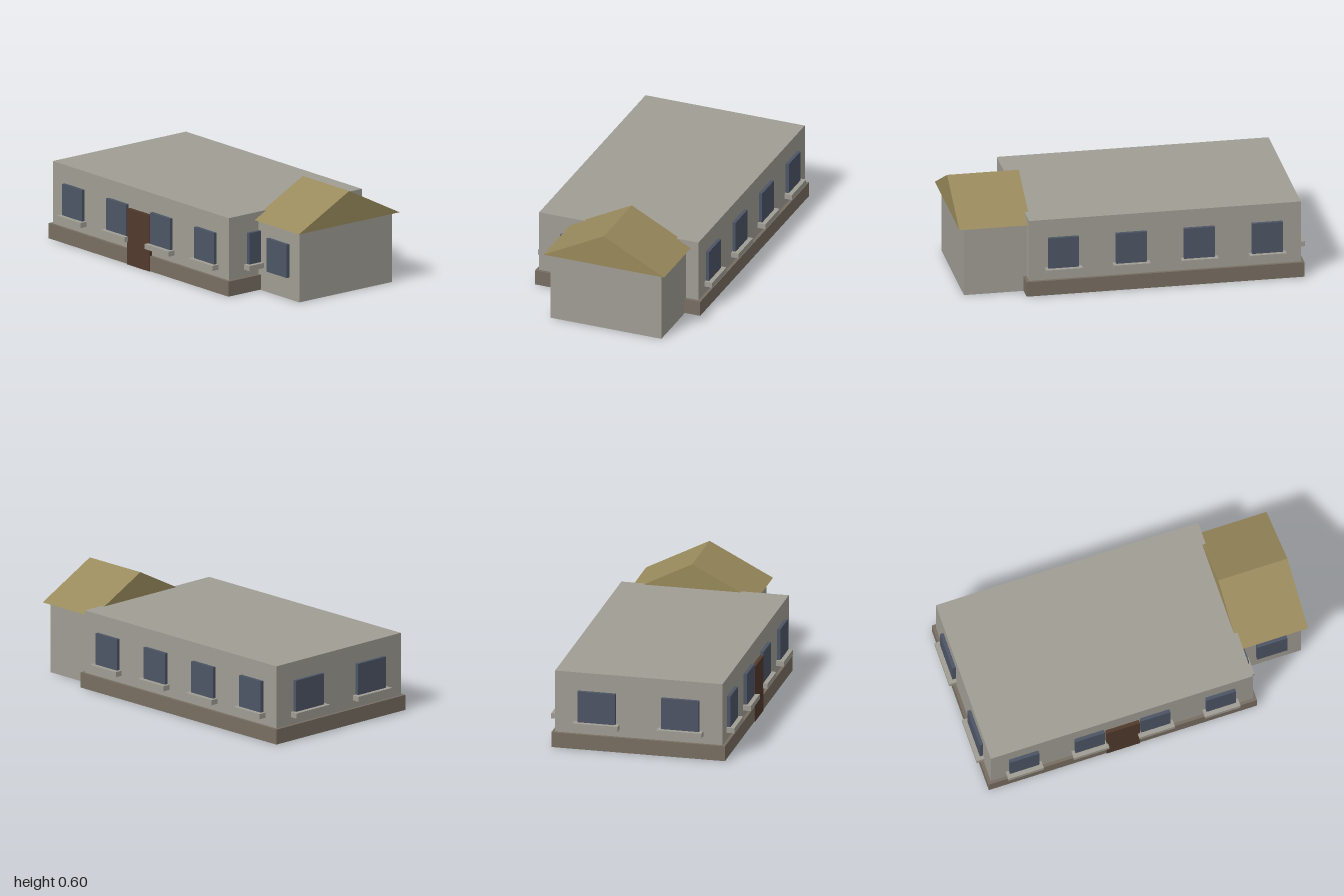
import * as THREE from 'three';

const paint = (name, color) => {
  const m = new THREE.MeshStandardMaterial({ color });
  m.name = name;
  return m;
};

export function createModel() {
  const wall = paint('wall grey', 0xa09d94);
  const stone = paint('plinth brown', 0x786e62);
  const glass = paint('window blue', 0x4d5565);
  const wood = paint('door brown', 0x513a2d);
  const thatch = paint('roof ochre', 0x998a5c);

  const house = new THREE.Group();
  house.name = 'house';

  // Box given by its two opposite corners
  const box = (name, material, [x0, y0, z0], [x1, y1, z1], parent = house) => {
    const mesh = new THREE.Mesh(new THREE.BoxGeometry(x1 - x0, y1 - y0, z1 - z0), material);
    mesh.position.set((x0 + x1) / 2, (y0 + y1) / 2, (z0 + z1) / 2);
    mesh.name = name;
    parent.add(mesh);
    return mesh;
  };

  // Main block with its flat top, and the plinth around it
  const midX = -0.173, halfX = 0.781, halfZ = 0.487;
  box('mainWalls', wall, [midX - halfX, 0, -halfZ], [midX + halfX, 0.455, halfZ]);
  box('plinth', stone, [midX - halfX - 0.018, 0.002, -halfZ - 0.018], [midX + halfX + 0.018, 0.09, halfZ + 0.018]);

  // Door
  box('door', wood, [-0.27, 0, halfZ - 0.01], [-0.072, 0.328, halfZ + 0.021]);

  // Rows of windows with sills, one row on each side of the main block
  const windowRow = (name, count, spacing, distance, angle) => {
    const row = new THREE.Group();
    row.name = name;
    for (let i = 0; i < count; i++) {
      const x = (i - (count - 1) / 2) * spacing;
      const w = spacing * 0.225, s = spacing * 0.27;
      box('window', glass, [x - w, 0.16, distance - 0.01], [x + w, 0.347, distance + 0.02], row);
      box('sill', wall, [x - s, 0.134, distance - 0.01], [x + s, 0.164, distance + 0.046], row);
    }
    row.position.x = midX;
    row.rotation.y = angle;
    house.add(row);
  };
  windowRow('frontWindows', 4, halfX / 2, halfZ, 0);
  windowRow('backWindows', 4, halfX / 2, halfZ, Math.PI);
  windowRow('leftWindows', 2, halfZ, halfX, Math.PI / 2);
  windowRow('rightWindows', 2, halfZ, halfX, -Math.PI / 2);

  // Annex
  const annexZ = -0.071;
  box('annexWalls', wall, [0.6, 0, annexZ - 0.339], [0.968, 0.41, annexZ + 0.339]);
  box('annexWindow', glass, [0.7, 0.127, annexZ + 0.33], [0.88, 0.322, annexZ + 0.359]);

  // Gabled annex roof: a triangle extruded along x
  const gable = new THREE.Shape([
    new THREE.Vector2(-0.369, 0),
    new THREE.Vector2(0.369, 0),
    new THREE.Vector2(0, 0.19),
  ]);
  const roof = new THREE.Mesh(new THREE.ExtrudeGeometry(gable, { depth: 0.412, bevelEnabled: false }), thatch);
  roof.rotation.y = Math.PI / 2;
  roof.position.set(0.588, 0.41, annexZ);
  roof.name = 'annexRoof';
  house.add(roof);

  return house;
}
